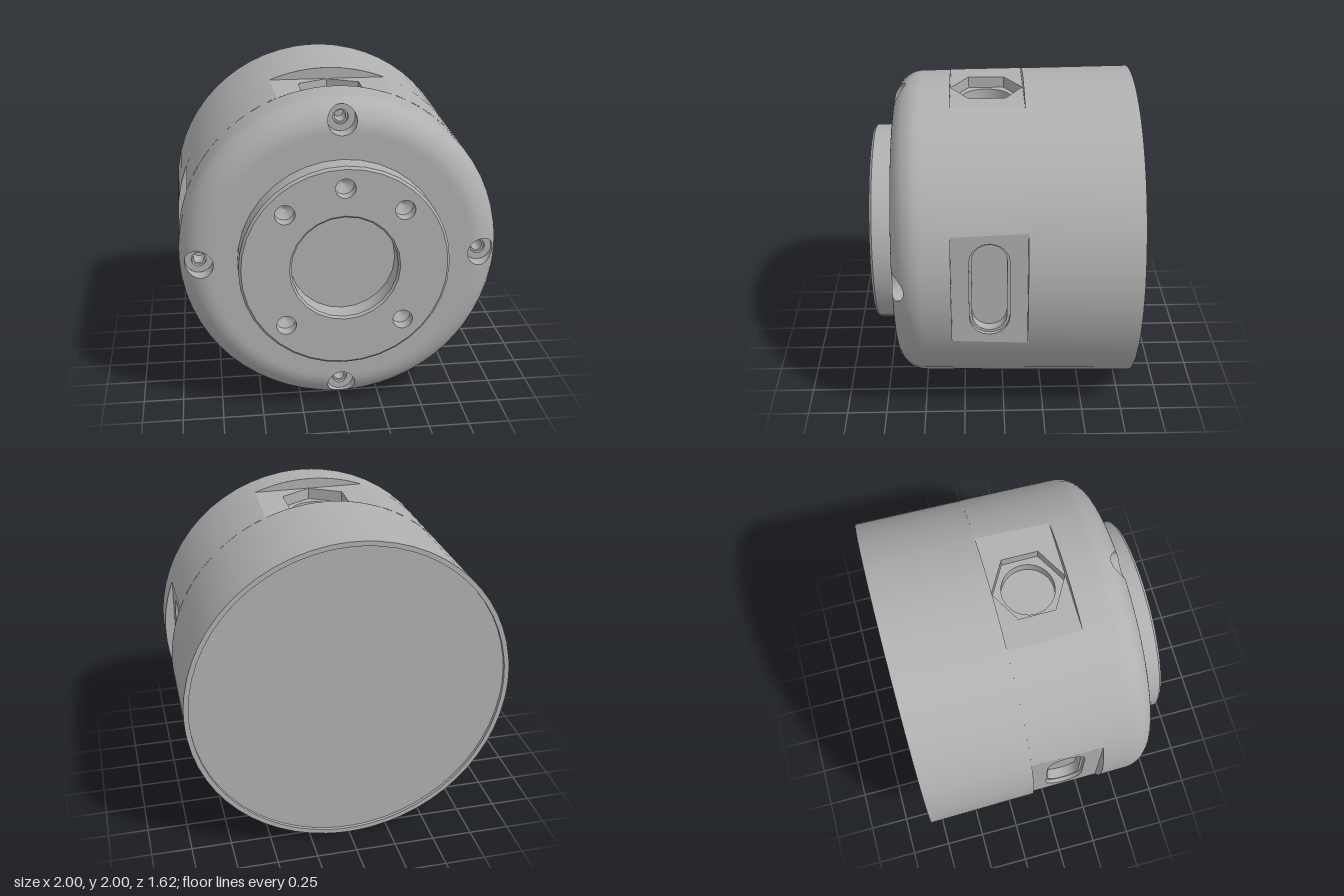
import * as THREE from 'three';
import { mergeGeometries, toCreasedNormals } from 'three/addons/utils/BufferGeometryUtils.js';

const grey = new THREE.MeshStandardMaterial({ color: 0xb0b0b0, side: THREE.DoubleSide });
grey.name = 'machined grey';

const BACK = -0.81, FRONT = 0.67, FILLET = 0.185, FC = FRONT - FILLET;
const Z0 = -0.135, Z1 = 0.315, ZC = 0.09, FLAT = 0.918;   // side flats
const R = z => 1 - 0.0155 * (z - BACK);                   // slight taper
const RC = R(FC) - FILLET;
const frontZ = r => r <= RC ? FRONT : FC + Math.sqrt(Math.max(0, FILLET ** 2 - (r - RC) ** 2));
const halfWidth = z => Math.sqrt(R(z) ** 2 - FLAT ** 2);

// Counterbores on the rounded front edge
const HOLE_R = 0.086, HOLE_AT = 0.86, RA = 0.74, RB = 0.965, DELTA = 0.15, STEPS = 12;

// Surface from f(u, v) -> [x, y, z], facing du x dv
function grid(nu, nv, f) {
  const pos = [], index = [];
  for (let j = 0; j <= nv; j++) for (let i = 0; i <= nu; i++) pos.push(...f(i / nu, j / nv));
  for (let j = 0; j < nv; j++) for (let i = 0; i < nu; i++) {
    const a = j * (nu + 1) + i, d = a + nu + 1;
    index.push(a, a + 1, d + 1, a, d + 1, d);
  }
  const g = new THREE.BufferGeometry();
  g.setAttribute('position', new THREE.Float32BufferAttribute(pos, 3));
  return g.setIndex(index);
}

// Turn a [radius, z] profile about z
const circleAngles = n => Array.from({ length: n + 1 }, (_, i) => i / n * Math.PI * 2);
function revolve(profile, angles) {
  const nu = angles.length - 1, nv = profile.length - 1;
  return grid(nu, nv, (u, v) => {
    const a = angles[Math.round(u * nu)], [r, z] = profile[Math.round(v * nv)];
    return [r * Math.cos(a), r * Math.sin(a), z];
  });
}

// Flat plate from a 2D outline with holes
function plate(outline, holes, z) {
  const shape = new THREE.Shape(outline);
  shape.holes = holes.map(h => new THREE.Path(h));
  const g = new THREE.ShapeGeometry(shape).translate(0, 0, z);
  g.deleteAttribute('normal');
  g.deleteAttribute('uv');
  return g;
}

const ring = (cx, cy, r, n, start = 0) => Array.from({ length: n }, (_, i) => {
  const a = start + i / n * Math.PI * 2;
  return new THREE.Vector2(cx + r * Math.cos(a), cy + r * Math.sin(a));
});

// Wall between two equally long outlines at two heights
function wall(loopA, zA, loopB, zB) {
  const n = loopA.length;
  return grid(n, 1, (u, v) => {
    const i = Math.round(u * n) % n, p = v < 0.5 ? loopA[i] : loopB[i];
    return [p.x, p.y, v < 0.5 ? zA : zB];
  });
}

function part(name, geos) {
  const mesh = new THREE.Mesh(toCreasedNormals(mergeGeometries(geos), 0.5), grey);
  mesh.name = name;
  return mesh;
}

// Rounded slot outline
function slotLoop(r) {
  const pts = [], half = 0.185, n = 10;
  for (const s of [1, -1]) for (let i = 0; i <= n; i++) {
    const a = (s > 0 ? -Math.PI / 2 : Math.PI / 2) + i / n * Math.PI;
    pts.push(new THREE.Vector2(s * half + r * Math.cos(a), ZC + r * Math.sin(a)));
  }
  return pts;
}

// Point k (0..1) on the square border round a counterbore: [radius, angle]
function border(k) {
  const q = Math.min(3, Math.floor(k * 4 + 1e-9)), f = (k * 4 - q) * 2 - 1;
  const [t, s] = [[1, f], [-f, 1], [-1, -f], [f, -1]][q];
  return [(RA + RB) / 2 + t * (RB - RA) / 2, s * DELTA];
}

function housing() {
  const angles = [];
  const gapAngles = [];
  for (let q = 0; q < 4; q++) {
    const c = q * Math.PI / 2, gap = [];
    for (let i = 0; i < STEPS; i++) angles.push(c - DELTA + 2 * DELTA * i / STEPS);
    for (let i = 0; i <= STEPS; i++) gap.push(c + DELTA + (Math.PI / 2 - 2 * DELTA) * i / STEPS);
    angles.push(...gap.slice(0, -1));
    gapAngles.push(gap);
  }
  angles.push(2 * Math.PI - DELTA);

  // Back recess, rim and rear wall
  const geos = [revolve([[0, -0.79], [0.97, -0.79], [0.97, BACK], [R(BACK), BACK], [R(Z0), Z0]], angles)];

  // Front wall and outer part of the rounded edge
  const edge = [[R(Z1), Z1]], start = Math.asin((RB - RC) / FILLET);
  for (let i = 0; i <= 4; i++) {
    const a = Math.PI / 2 + (start - Math.PI / 2) * i / 4;
    edge.push([RC + FILLET * Math.sin(a), FC + FILLET * Math.cos(a)]);
  }
  geos.push(revolve(edge, angles));

  // Inner part of the rounded edge between counterbores, and front face
  const band = Array.from({ length: STEPS + 1 }, (_, i) => {
    const r = RB + (RA - RB) * i / STEPS;
    return [r, frontZ(r)];
  });
  gapAngles.forEach(g => geos.push(revolve(band, g)));
  geos.push(revolve([[RA, FRONT], [0.6, FRONT]], angles));

  for (let q = 0; q < 4; q++) {
    const c = q * Math.PI / 2;
    // Wall between neighbouring flats
    geos.push(grid(24, 1, (u, v) => {
      const z = Z0 + (Z1 - Z0) * v, r = R(z), a = Math.asin(halfWidth(z) / r);
      const t = c + a + (Math.PI / 2 - 2 * a) * u;
      return [r * Math.cos(t), r * Math.sin(t), z];
    }));
    // Rounded edge round the counterbore, then its wall and stepped floor
    const at = (u, v) => {
      const [r, a] = border(u);
      const x = r * Math.cos(a), y = r * Math.sin(a), d = Math.hypot(x - HOLE_AT, y);
      const px = x + (HOLE_AT + (x - HOLE_AT) / d * HOLE_R - x) * v;
      const py = y + (y / d * HOLE_R - y) * v;
      return [px, py, frontZ(Math.hypot(px, py))];
    };
    const bore = grid(STEPS * 4, 1, (u, v) => {
      const [x, y, z] = at(u, 1);
      return [x, y, v ? 0.565 : z];
    });
    const floor = revolve([[HOLE_R, 0.565], [0.045, 0.565], [0.045, 0.54], [0.034, 0.54], [0.034, 0.43], [0, 0.43]],
      circleAngles(24)).translate(HOLE_AT, 0, 0);
    for (const g of [grid(STEPS * 4, 6, at), bore, floor]) geos.push(g.rotateZ(c));
  }
  return part('housing', geos);
}

// Recessed flat with a slot or hexagonal pocket; local z points outward, local y forward
function sideFlat(name, angle, hex) {
  const w0 = halfWidth(Z0), w1 = halfWidth(Z1), geos = [];
  const outline = [[-w0, Z0], [w0, Z0], [w1, Z1], [-w1, Z1]].map(p => new THREE.Vector2(...p));
  const outer = hex ? ring(0, ZC, 0.222, 6, Math.PI / 6) : slotLoop(0.12);
  const inner = hex ? ring(0, ZC, 0.16, 32) : slotLoop(0.104);
  const d1 = FLAT - (hex ? 0.07 : 0.025), d2 = FLAT - (hex ? 0.14 : 0.09);
  geos.push(plate(outline, [outer], FLAT), wall(outer, FLAT, outer, d1),
    plate(outer, [inner], d1), wall(inner, d1, inner, d2), plate(inner, [], d2));
  // End steps
  for (const [z, w, flip] of [[Z0, w0, false], [Z1, w1, true]]) {
    geos.push(grid(16, 1, (u, v) => {
      const x = w * (2 * u - 1), top = Math.sqrt(R(z) ** 2 - x * x);
      return [x, z, (v > 0.5) === flip ? top : FLAT];
    }));
  }
  const mesh = part(name, geos);
  const c = Math.cos(angle), s = Math.sin(angle);
  mesh.geometry.applyMatrix4(new THREE.Matrix4().makeBasis(
    new THREE.Vector3(-s, c, 0), new THREE.Vector3(0, 0, 1), new THREE.Vector3(c, s, 0)));
  return mesh;
}

// Front boss with central bore and five drilled holes
function boss() {
  const top = 0.81, n = 36, m = 24;
  const holes = [45, 90, 135, 225, 315].map(d => d * Math.PI / 180)
    .map(a => [0.5 * Math.cos(a), 0.5 * Math.sin(a)]);
  return part('frontBoss', [
    revolve([[0.632, FRONT - 0.01], [0.632, top - 0.015], [0.617, top]], circleAngles(n)),
    plate(ring(0, 0, 0.617, n), [ring(0, 0, 0.332, m), ...holes.map(([x, y]) => ring(x, y, 0.06, 20))], top),
    revolve([[0.332, top], [0.32, top - 0.015], [0.32, FRONT], [0, FRONT]], circleAngles(m)),
    ...holes.map(([x, y]) =>
      revolve([[0.06, top], [0.06, 0.73], [0, 0.695]], circleAngles(20)).translate(x, y, 0)),
  ]);
}

export function createModel() {
  const model = new THREE.Group();
  model.name = 'motorHousing';
  const body = new THREE.Group();
  body.name = 'body';
  body.position.y = 1;
  body.add(
    housing(), boss(),
    sideFlat('leftSlotFlat', 0, false),
    sideFlat('topHexFlat', Math.PI / 2, true),
    sideFlat('rightSlotFlat', Math.PI, false),
    sideFlat('bottomSlotFlat', -Math.PI / 2, false));
  model.add(body);
  return model;
}
